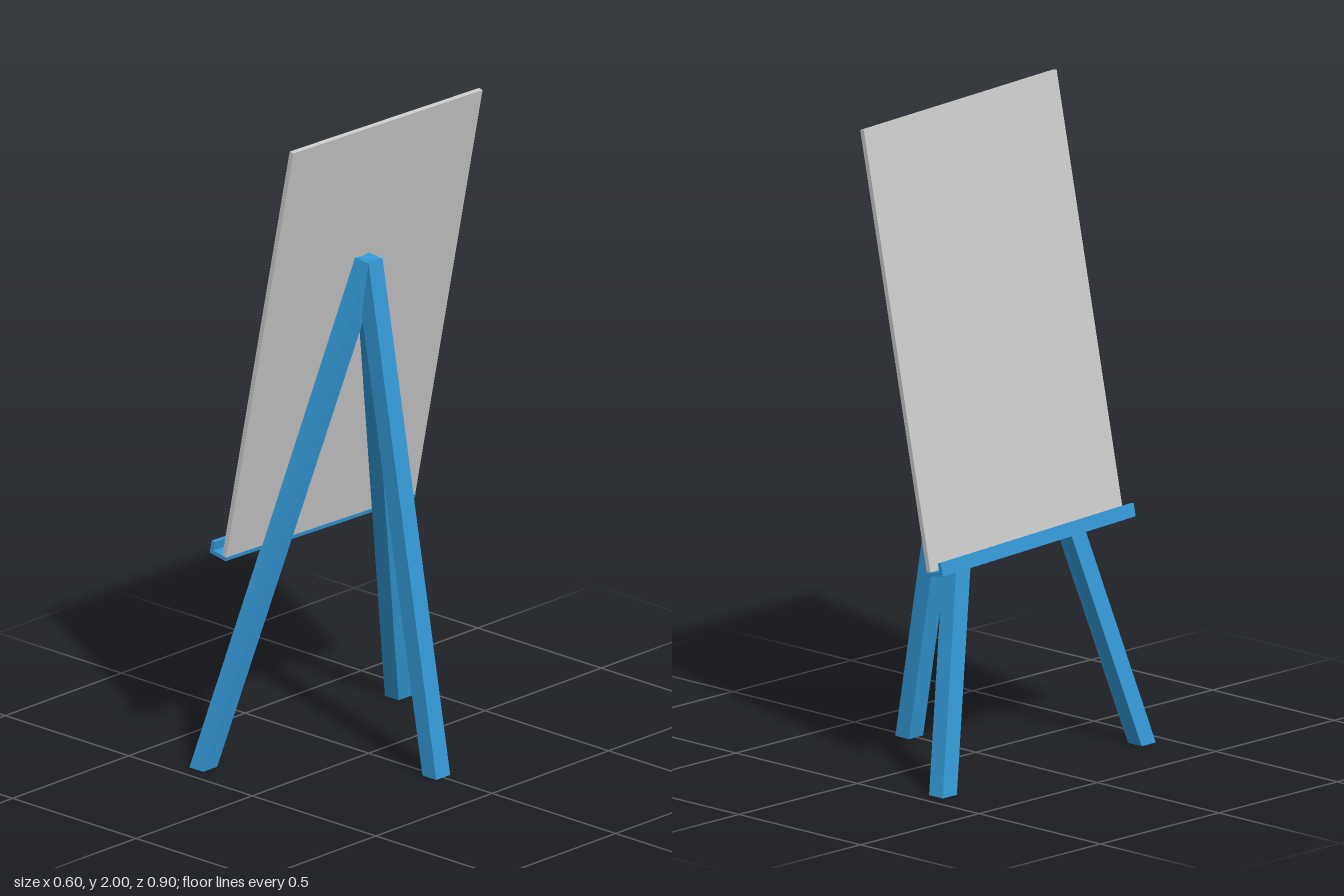
import * as THREE from 'three';

const blue = new THREE.MeshStandardMaterial({ color: 0x3399d6, flatShading: true });
const grey = new THREE.MeshStandardMaterial({ color: 0xcccccc, flatShading: true });

// Leaning square post: level foot at (footX, footZ), head meeting the others at the apex
function makeLeg(name, footX, footZ) {
  const height = 1.55;
  const geo = new THREE.BoxGeometry(0.056, height, 0.06);
  const p = geo.attributes.position;
  for (let i = 0; i < p.count; i++) {
    const x = p.getX(i), z = p.getZ(i);
    if (p.getY(i) < 0) p.setXYZ(i, x + footX, 0, z + footZ);
    else p.setY(i, height + 0.4 * (x * footX + z * footZ)); // slightly slanted cut
  }
  geo.computeVertexNormals();
  const mesh = new THREE.Mesh(geo, blue);
  mesh.name = name;
  return mesh;
}

export function createModel() {
  const model = new THREE.Group();
  model.name = 'easel';

  model.add(makeLeg('frontLegLeft', -0.274, 0.42));
  model.add(makeLeg('frontLegRight', -0.274, -0.42));
  model.add(makeLeg('rearLeg', 0.274, 0));

  // Leaning, slightly askew frame shared by panel and tray: y up the panel, z along its width
  const along = new THREE.Vector3(0.013, 0.025, 0.826).normalize();
  const up = new THREE.Vector3(0.232, 1.317, -0.04).normalize();
  const back = new THREE.Vector3().crossVectors(up, along).normalize();
  up.crossVectors(along, back);
  const rest = new THREE.Group();
  rest.name = 'panelAndTray';
  rest.quaternion.setFromRotationMatrix(new THREE.Matrix4().makeBasis(back, up, along));
  rest.position.set(-0.198, 0.674, 0.012);
  model.add(rest);

  const width = 0.828;
  const panel = new THREE.Mesh(new THREE.BoxGeometry(0.015, 1.336, width), grey);
  panel.name = 'panel';
  panel.position.set(0.0075, 0.668, 0);
  rest.add(panel);

  // L-shaped tray with a lip along its front edge
  const profile = new THREE.Shape([
    [0.016, -0.012], [0.016, 0], [-0.037, 0], [-0.037, 0.028], [-0.049, 0.028], [-0.049, -0.012],
  ].map(([x, y]) => new THREE.Vector2(x, y)));
  const trayGeo = new THREE.ExtrudeGeometry(profile, { depth: width, bevelEnabled: false });
  trayGeo.translate(0, 0, -width / 2);
  const tray = new THREE.Mesh(trayGeo, blue);
  tray.name = 'tray';
  rest.add(tray);

  return model;
}
